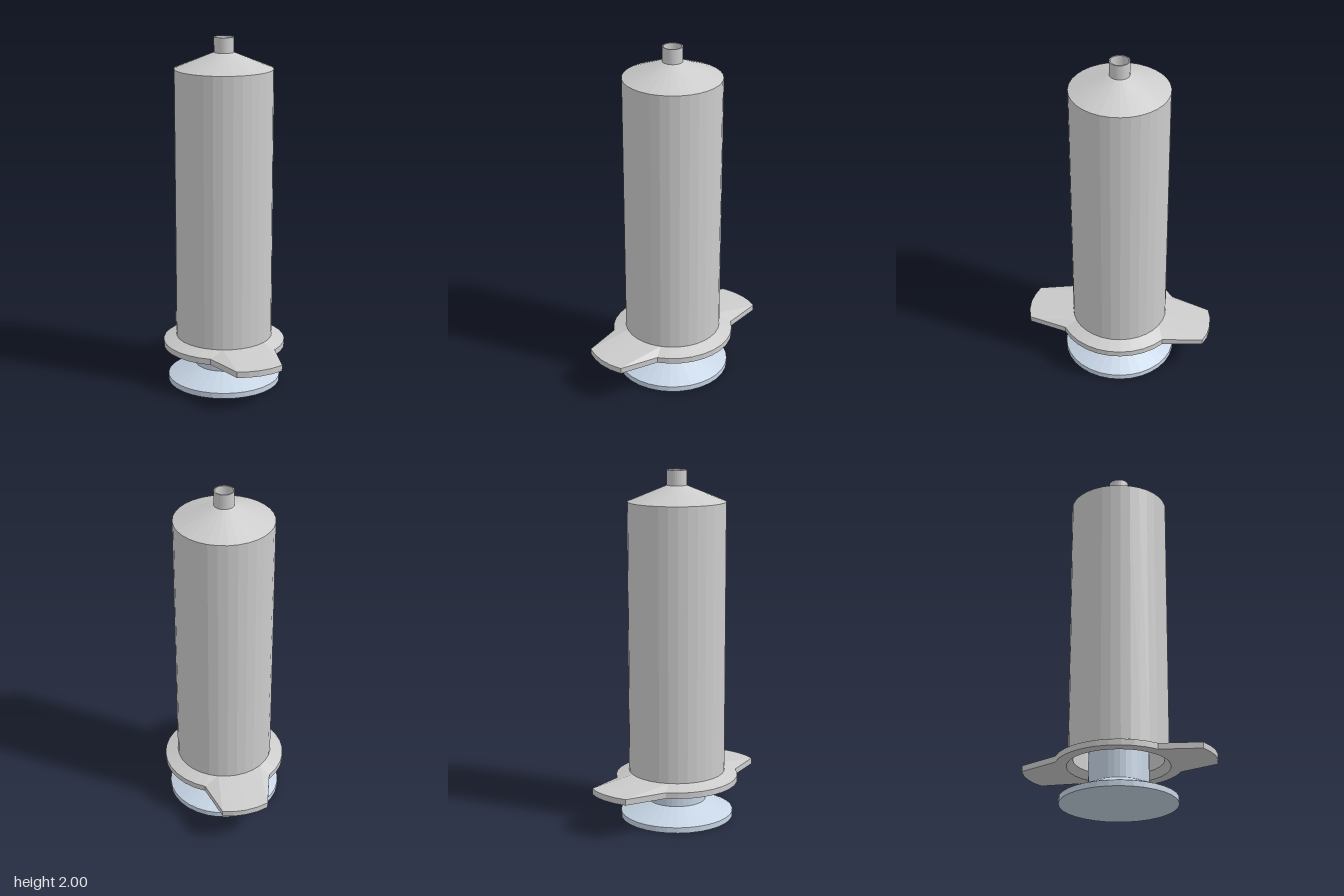
import * as THREE from 'three';

const SIDES = 32;

const grey = new THREE.MeshStandardMaterial({ color: 0xcccccc, flatShading: true });
const blue = new THREE.MeshStandardMaterial({ color: 0xc6d4e4, flatShading: true });

function turned(name, profile, material) {
  const points = profile.map(([r, y]) => new THREE.Vector2(r, y));
  const mesh = new THREE.Mesh(new THREE.LatheGeometry(points, SIDES), material);
  mesh.name = name;
  return mesh;
}

// A ring of [x, z] points, counter-clockwise seen from above
function circle(radius) {
  return Array.from({ length: SIDES }, (_, i) => {
    const a = (i / SIDES) * Math.PI * 2;
    return [radius * Math.cos(a), -radius * Math.sin(a)];
  });
}

// Skin between successive closed rings, each given as { ring, y }
function loft(levels) {
  const positions = [];
  const index = [];
  levels.forEach(({ ring, y }) => ring.forEach(([x, z]) => positions.push(x, y, z)));
  for (let j = 0; j < levels.length - 1; j++) {
    for (let i = 0; i < SIDES; i++) {
      const a = j * SIDES + i;
      const b = j * SIDES + ((i + 1) % SIDES);
      index.push(a, b, b + SIDES, a, b + SIDES, a + SIDES);
    }
  }
  const geometry = new THREE.BufferGeometry();
  geometry.setAttribute('position', new THREE.Float32BufferAttribute(positions, 3));
  geometry.setIndex(index);
  const flat = geometry.toNonIndexed();
  flat.computeVertexNormals();
  return flat;
}

// Finger flange: a round collar with five rim points pulled out into each wing
function makeFlange() {
  const outline = circle(0.351);
  const backWing = [[0.254, -0.484], [0.199, -0.516], [0.133, -0.535], [0.06, -0.543], [-0.009, -0.537]];
  const frontWing = [[-0.228, 0.484], [-0.17, 0.514], [-0.107, 0.535], [-0.035, 0.543], [0.037, 0.536]];
  backWing.forEach((p, i) => { outline[5 + i] = p; });
  frontWing.forEach((p, i) => { outline[21 + i] = p; });

  const mesh = new THREE.Mesh(loft([
    { ring: circle(0.25), y: 0.25 },
    { ring: circle(0.285), y: 0.212 },
    { ring: outline, y: 0.212 },
    { ring: outline, y: 0.246 },
    { ring: circle(0.277), y: 0.275 },
  ]), grey);
  mesh.name = 'fingerFlange';
  return mesh;
}

export function createModel() {
  const model = new THREE.Group();
  model.name = 'syringe';

  // Hollow barrel: outer wall, shoulder and nozzle, then back down the bore
  model.add(turned('barrel', [
    [0.277, 0.275], [0.277, 1.825], [0.056, 1.915], [0.056, 2],
    [0.049, 2], [0.049, 1.89], [0.25, 1.805], [0.25, 0.25],
  ], grey));

  model.add(makeFlange());

  // Plunger: thumb plate, flared foot and rod
  model.add(turned('plunger', [
    [0, 0], [0.325, 0], [0.325, 0.032], [0.166, 0.1], [0.166, 1.68], [0, 1.68],
  ], blue));

  // Stopper sealing the bore at the end of the rod
  model.add(turned('stopper', [
    [0, 1.66], [0.248, 1.66], [0.248, 1.79], [0.05, 1.87], [0, 1.87],
  ], grey));

  return model;
}
